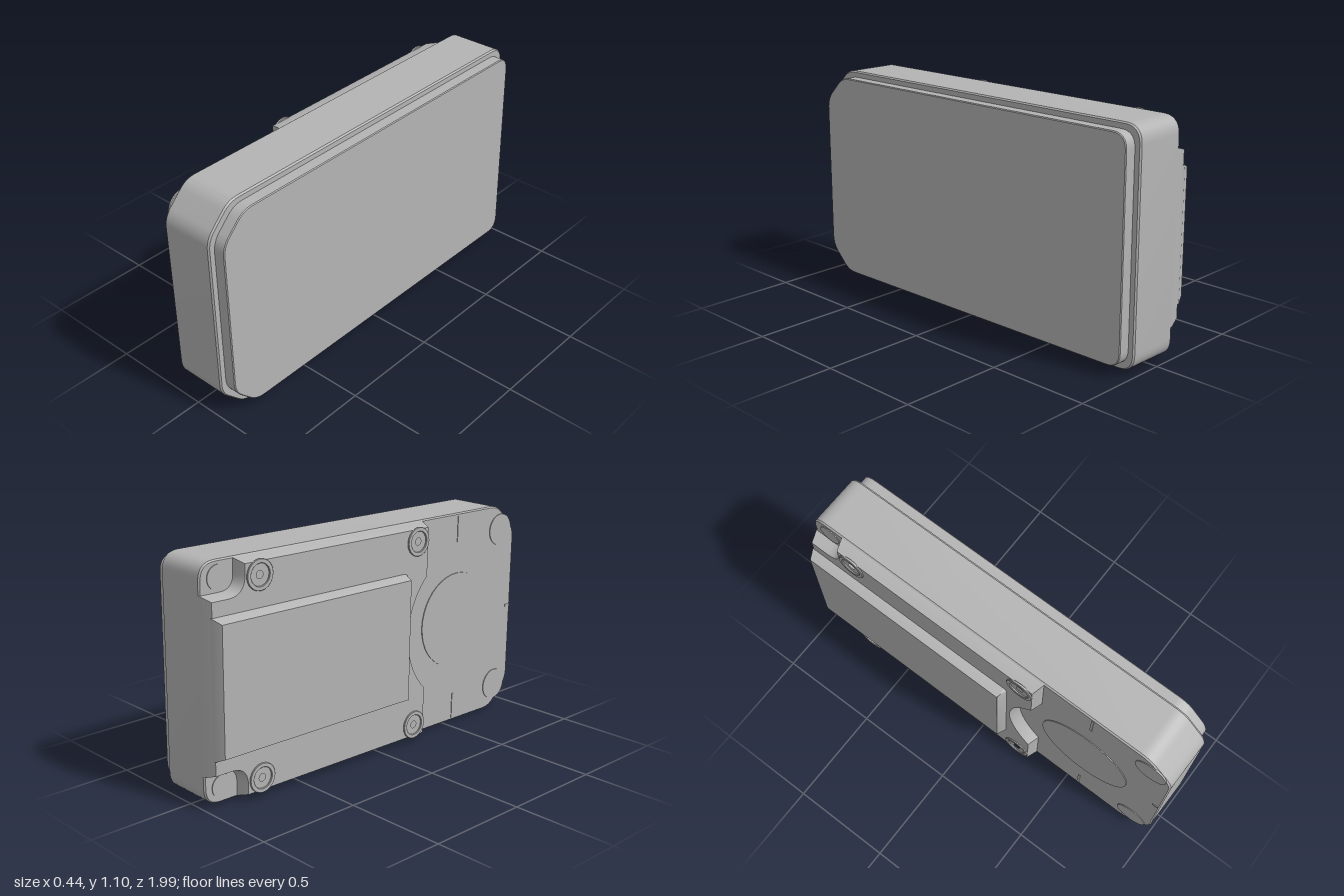
import * as THREE from 'three';
import { toCreasedNormals } from 'three/addons/utils/BufferGeometryUtils.js';

const HALF_H = 0.54, HALF_Z = 0.993;

// Rounded polygon from [z, y, radius] corners; shape x runs along -z
function roundedShape(corners) {
  const pts = corners.map(([z, y]) => new THREE.Vector2(-z, y));
  const shape = new THREE.Shape();
  pts.forEach((p, i) => {
    const prev = pts[(i + pts.length - 1) % pts.length], next = pts[(i + 1) % pts.length];
    const r = corners[i][2] || 0;
    const a = p.clone().add(prev.clone().sub(p).setLength(r));
    const b = p.clone().add(next.clone().sub(p).setLength(r));
    if (i === 0) shape.moveTo(a.x, a.y); else shape.lineTo(a.x, a.y);
    if (r) shape.quadraticCurveTo(p.x, p.y, b.x, b.y);
  });
  shape.closePath();
  return shape;
}

// Casing outline: rounded rear corners, chamfered front corners
function outline(inset) {
  const h = HALF_H - inset, z = HALF_Z - inset, c = 0.13 - inset * 0.3, r = 0.085 - inset * 0.4;
  return roundedShape([
    [z, -h + c, 0.05], [z, h - c, 0.05], [z - c, h, 0.05], [-z, h, r],
    [-z, -h, r], [z - c, -h, 0.05],
  ]);
}

// Extrude a (z, y) shape from x0 to x1 with a chamfer on both ends
function slab(shape, x0, x1, bevelThickness, bevelSize) {
  const geo = new THREE.ExtrudeGeometry(shape, {
    depth: x1 - x0 - 2 * bevelThickness, bevelEnabled: true, bevelSegments: 1,
    bevelThickness, bevelSize, bevelOffset: -bevelSize, curveSegments: 10,
  });
  geo.translate(0, 0, x0 + bevelThickness).rotateY(Math.PI / 2);
  return toCreasedNormals(geo, 0.5);
}

export function createModel() {
  const model = new THREE.Group();
  model.name = 'deviceCase';
  const casing = new THREE.Group();
  casing.name = 'casing';
  const grey = new THREE.MeshStandardMaterial({ color: 0xb4b4b4 });
  grey.name = 'plain grey';

  const add = (name, geometry) => {
    const mesh = new THREE.Mesh(geometry, grey);
    mesh.name = name;
    casing.add(mesh);
    return mesh;
  };
  const disc = (name, x, y, z, r, height) => {
    const geo = new THREE.CylinderGeometry(r, r, height, 40).rotateZ(Math.PI / 2);
    add(name, geo).position.set(x, y, z);
  };

  // Main shell and the inset cover on its left side
  add('mainShell', slab(outline(0), -0.111, 0.155, 0.008, 0.006));
  add('coverPlate', slab(outline(0.03), 0.14, 0.212, 0.004, 0.004));

  // Raised grip base, notched at the rear corners, with a round bay at the front
  const top = 0.535, notchY = 0.4, notchZ = -0.82, edgeZ = 0.31;
  const bayZ = 0.567, bayR = 0.375;
  const half = Math.acos((bayZ - edgeZ) / bayR);
  const bay = [];
  for (let i = 0; i <= 20; i++) {
    const a = half * (1 - i / 10);
    bay.push([bayZ - bayR * Math.cos(a), -bayR * Math.sin(a)]);
  }
  const baseShape = roundedShape([
    [edgeZ, -top], ...bay, [edgeZ, top],
    [notchZ, top], [notchZ, notchY, 0.07], [-HALF_Z, notchY],
    [-HALF_Z, -notchY], [notchZ, -notchY, 0.07], [notchZ, -top],
  ]);
  const screws = [];
  for (const z of [-0.725, 0.225]) for (const s of [1, -1]) screws.push([z, s * 0.458]);
  for (const [z, y] of screws) {
    const hole = new THREE.Path();
    hole.absarc(-z, y, 0.036, 0, Math.PI * 2, true);
    baseShape.holes.push(hole);
  }
  add('gripBase', slab(baseShape, -0.17, -0.02, 0.058, 0.018));

  // Raised panel on the grip
  const panel = roundedShape([
    [0.155, -0.315, 0.02], [0.155, 0.315, 0.02], [-0.98, 0.315], [-0.98, -0.315],
  ]);
  add('gripPanel', slab(panel, -0.218, -0.12, 0.046, 0.02));

  // Low collars around the screw holes
  for (const [z, y] of screws) {
    const ring = new THREE.Shape();
    ring.absarc(-z, y, 0.07, 0, Math.PI * 2, false);
    const hole = new THREE.Path();
    hole.absarc(-z, y, 0.05, 0, Math.PI * 2, true);
    ring.holes.push(hole);
    add('screwCollar', slab(ring, -0.177, -0.165, 0.002, 0.002));
  }

  // Round centre cap and corner feet on the flat face
  disc('centreCap', -0.111, 0, bayZ, 0.24, 0.008);
  for (const s of [1, -1]) {
    disc('frontFoot', -0.111, s * 0.415, 0.885, 0.08, 0.008);
    disc('rearFoot', -0.111, s * 0.465, -0.9, 0.055, 0.008);
    add('edgeMark', new THREE.BoxGeometry(0.006, 0.13, 0.012)).position.set(-0.111, s * 0.46, 0.57);
  }
  add('frontMark', new THREE.BoxGeometry(0.006, 0.012, 0.03)).position.set(-0.111, 0, 0.97);

  // Slight lean of the whole case
  casing.rotation.set(0.008, -0.005, 0.008);
  casing.position.y = 0.55;
  model.add(casing);
  return model;
}
